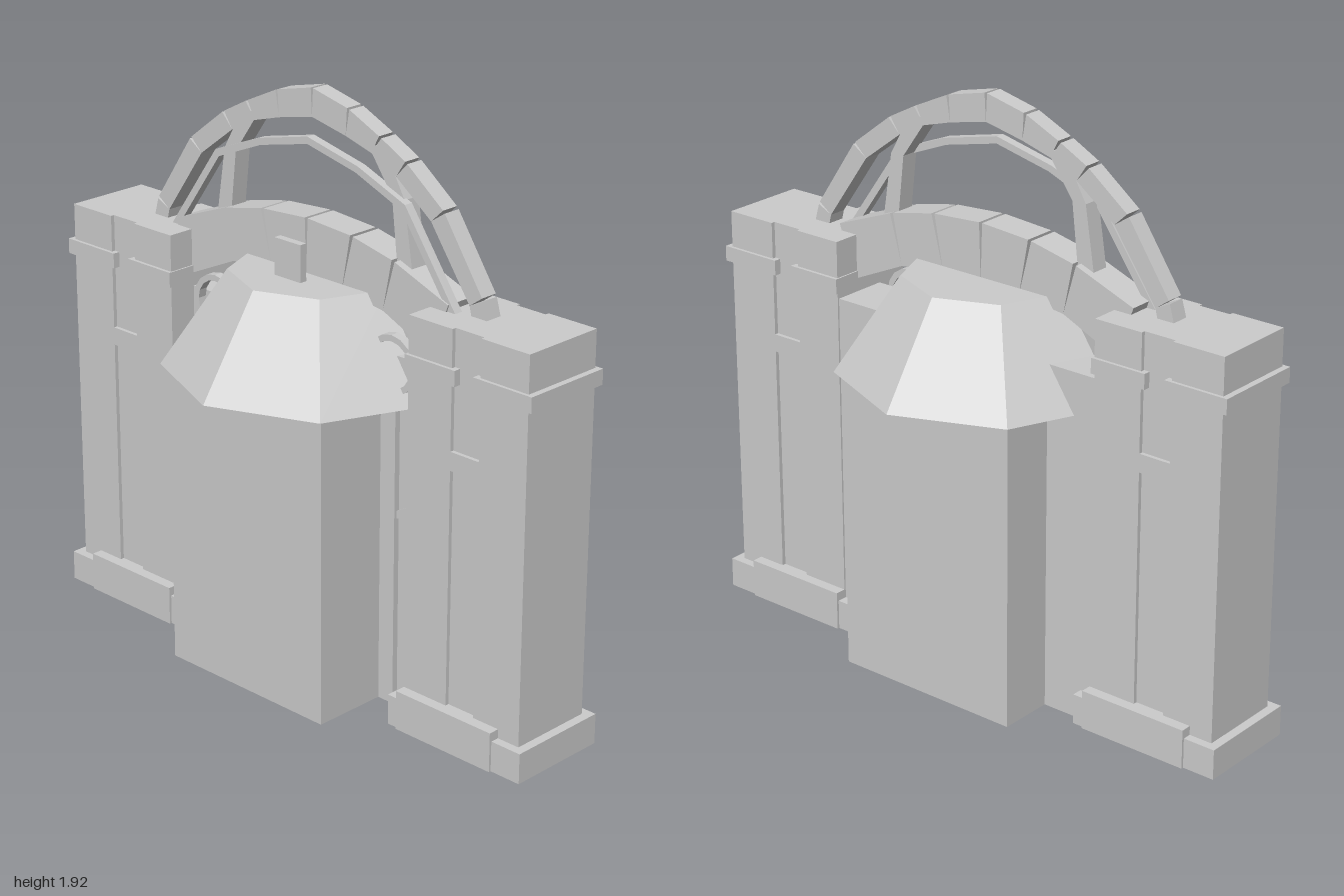
import * as THREE from 'three';

const material = new THREE.MeshStandardMaterial({ color: 0xcccccc, flatShading: true });

function add(parent, name, geometry) {
  const mesh = new THREE.Mesh(geometry, material);
  mesh.name = name;
  parent.add(mesh);
  return mesh;
}

// Box given by its min and max on each axis
function box(parent, name, x0, x1, y0, y1, z0, z1) {
  const g = new THREE.BoxGeometry(x1 - x0, y1 - y0, z1 - z0);
  g.translate((x0 + x1) / 2, (y0 + y1) / 2, (z0 + z1) / 2);
  return add(parent, name, g);
}

// Flat outline in x/y, extruded from z0 to z1
function slab(parent, name, pts, z0, z1) {
  const shape = new THREE.Shape(pts.map(([x, y]) => new THREE.Vector2(x, y)));
  const g = new THREE.ExtrudeGeometry(shape, { depth: z1 - z0, bevelEnabled: false });
  g.translate(0, 0, z0);
  return add(parent, name, g);
}

// Row of wedge blocks between an outer and an inner line, with notches on the outside
function blocks(parent, name, outer, inner, gap, z0, z1) {
  for (let i = 0; i < outer.length - 1; i++) {
    const [a, b] = [outer[i], outer[i + 1]];
    const d = gap / Math.hypot(b[0] - a[0], b[1] - a[1]);
    const mix = t => [a[0] + (b[0] - a[0]) * t, a[1] + (b[1] - a[1]) * t];
    slab(parent, name, [mix(d), mix(1 - d), inner[i + 1], inner[i]], z0, z1);
  }
}

function buildPillar(s) {
  const p = new THREE.Group();
  p.name = s > 0 ? 'leftPillar' : 'rightPillar';
  const b = (name, x0, x1, y0, y1, z0, z1) =>
    s > 0 ? box(p, name, x0, x1, y0, y1, z0, z1) : box(p, name, -x1, -x0, y0, y1, z0, z1);

  b('base', 0.47, 1, 0.03, 0.13, -0.175, 0.175);
  b('baseStep', 0.51, 0.89, 0.03, 0.16, -0.183, 0.183);

  // Shaft with a shallow channel front and back, bridged by one rail
  b('shaftCore', 0.67, 0.8, 0.1, 1.37, -0.133, 0.133);
  b('shaftInnerSide', 0.51, 0.68, 0.1, 1.37, -0.146, 0.146);
  b('shaftOuterSide', 0.79, 0.97, 0.1, 1.37, -0.146, 0.146);
  b('channelRail', 0.68, 0.79, 0.93, 0.99, -0.146, 0.146);

  // Band, broken at the channel
  b('innerBand', 0.505, 0.7, 1.2, 1.25, -0.157, 0.157);
  b('outerBand', 0.77, 0.99, 1.2, 1.25, -0.157, 0.157);
  return p;
}

function buildWing(s) {
  const w = new THREE.Group();
  w.name = s > 0 ? 'leftWing' : 'rightWing';
  const m = pts => pts.map(([x, y]) => [x * s, y]);

  // Wall joining the hall to the pillar
  slab(w, 'wingWall', m([[0.3, 0.03], [0.52, 0.03], [0.52, 1.18], [0.3, 1.18]]), -0.14, 0.05);
  slab(w, 'wingJamb', m([[0.3, 0.03], [0.39, 0.03], [0.39, 1.1], [0.3, 1.1]]), -0.14, 0.07);

  // Raised curved trim on the wall
  blocks(w, 'wallTrim', m([[0.51, 0.77], [0.44, 0.68], [0.385, 0.655]]),
    m([[0.51, 0.81], [0.44, 0.71], [0.385, 0.68]]), 0, 0.05, 0.06);

  // Small round ornament beside the roof
  const ring = new THREE.Shape().absarc(0.38 * s, 1.16, 0.095, 0, Math.PI * 2);
  ring.holes.push(new THREE.Path().absarc(0.38 * s, 1.16, 0.075, 0, Math.PI * 2, true));
  const rg = new THREE.ExtrudeGeometry(ring, { depth: 0.03, bevelEnabled: false, curveSegments: 8 });
  rg.translate(0, 0, 0.05);
  add(w, 'roundOrnament', rg);

  // Strut between the two large arches
  blocks(w, 'archStrut', m([[0.3, 1.8], [0.38, 1.66], [0.415, 1.44]]),
    m([[0.23, 1.8], [0.33, 1.66], [0.355, 1.44]]), 0, -0.03, 0.03);
  return w;
}

// Mirror a line of points that starts on the centre into a full line
const mirrored = pts => [...pts.slice(1).reverse().map(([x, y]) => [-x, y]), ...pts];

export function createModel() {
  const model = new THREE.Group();
  model.name = 'gatehouse';

  box(model, 'footing', -0.13, 0.13, 0, 0.04, -0.13, 0.13);
  box(model, 'hall', -0.33, 0.33, 0.03, 1.05, -0.325, 0.325);

  // Eight-sided roof with a flat top
  const roof = new THREE.CylinderGeometry(0.28, 0.49, 0.31, 8);
  roof.translate(0, 1.195, 0);
  add(model, 'roof', roof);
  box(model, 'roofBlock', -0.055, 0.055, 1.34, 1.47, 0.11, 0.135);

  for (const s of [1, -1]) model.add(buildPillar(s), buildWing(s));

  // Low stone arch between the pillars
  blocks(model, 'lowArch',
    mirrored([[0, 1.525], [0.19, 1.512], [0.36, 1.475], [0.585, 1.39]]),
    mirrored([[0, 1.33], [0.15, 1.33], [0.32, 1.31], [0.52, 1.22]]), 0.006, -0.055, 0.055);

  // Tall open arch
  blocks(model, 'tallArch',
    mirrored([[0, 1.925], [0.15, 1.89], [0.28, 1.83], [0.385, 1.775], [0.535, 1.66], [0.69, 1.43], [0.71, 1.36]]),
    mirrored([[0, 1.835], [0.14, 1.805], [0.245, 1.775], [0.345, 1.725], [0.485, 1.62], [0.64, 1.4], [0.65, 1.36]]),
    0.005, -0.03, 0.03);

  // Thin inner arch
  blocks(model, 'thinArch',
    mirrored([[0, 1.778], [0.21, 1.73], [0.4, 1.655], [0.61, 1.36]]),
    mirrored([[0, 1.755], [0.2, 1.71], [0.385, 1.635], [0.58, 1.36]]), 0, 0.02, 0.05);

  return model;
}
